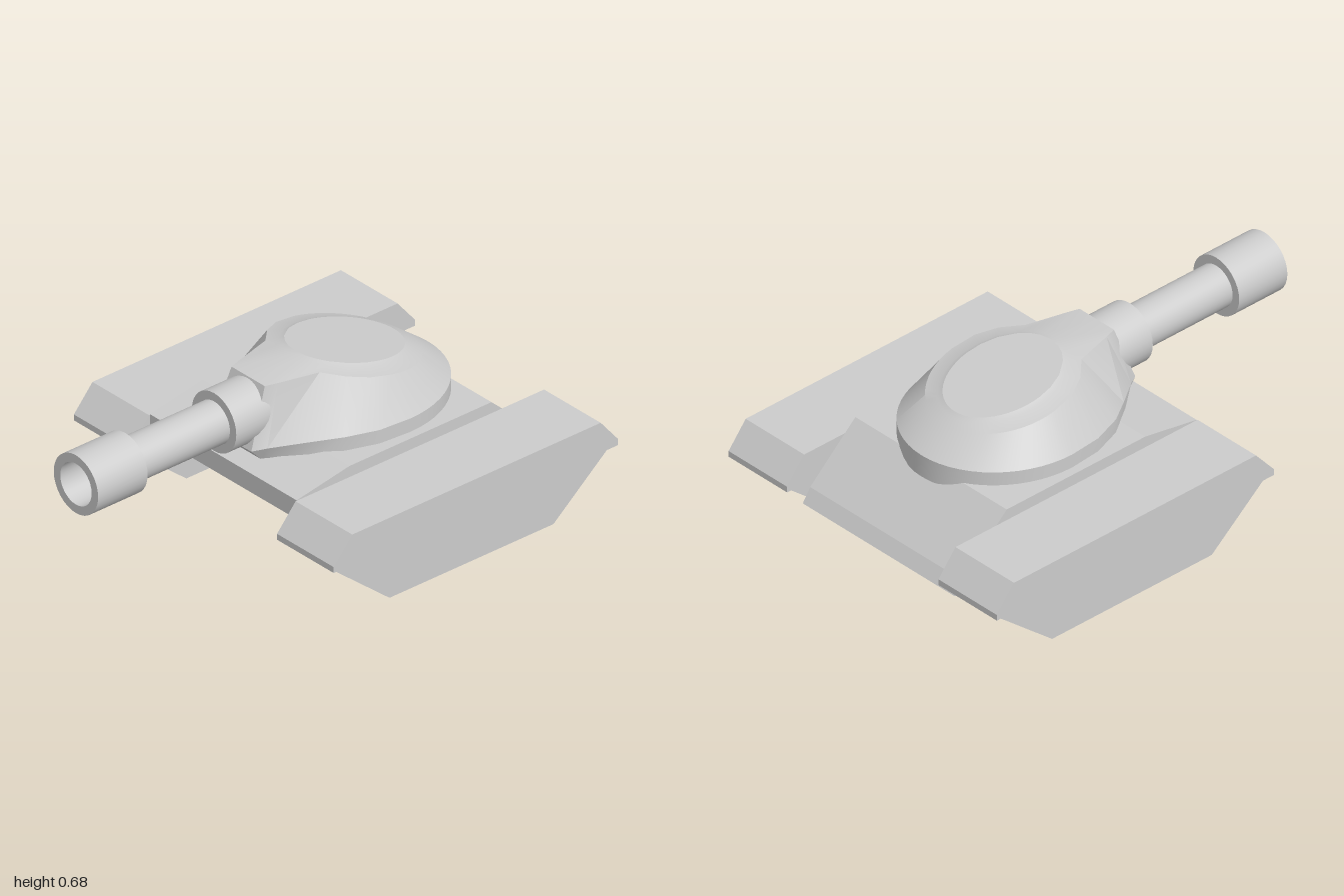
import * as THREE from 'three';
import { toCreasedNormals } from 'three/addons/utils/BufferGeometryUtils.js';

const material = new THREE.MeshStandardMaterial({ color: 0xcccccc });

function addMesh(parent, name, geometry) {
  const mesh = new THREE.Mesh(geometry, material);
  mesh.name = name;
  parent.add(mesh);
  return mesh;
}

// Extrudes a side profile of [z, y] points across x, centred on x = 0
function sideProfile(points, width) {
  const shape = new THREE.Shape(points.map(([z, y]) => new THREE.Vector2(z, y)));
  const geometry = new THREE.ExtrudeGeometry(shape, { depth: width, bevelEnabled: false });
  return geometry.translate(0, 0, -width / 2).rotateY(-Math.PI / 2);
}

// Skins a stack of closed rings, listed from bottom to top
function loft(rings, crease) {
  const positions = [];
  const triangle = (a, b, c) => {
    if (a.equals(b) || b.equals(c) || a.equals(c)) return;
    positions.push(...a.toArray(), ...b.toArray(), ...c.toArray());
  };
  for (let j = 0; j < rings.length - 1; j++) {
    const low = rings[j], high = rings[j + 1];
    for (let i = 0; i < low.length; i++) {
      const k = (i + 1) % low.length;
      triangle(low[i], low[k], high[k]);
      triangle(low[i], high[k], high[i]);
    }
  }
  const geometry = new THREE.BufferGeometry();
  geometry.setAttribute('position', new THREE.Float32BufferAttribute(positions, 3));
  return toCreasedNormals(geometry, crease);
}

// Half outline: given front points, then a quarter ellipse to the rear; mirrored to a full ring
const CENTRE = -0.3, STEPS = 14;
function ring(front, rx, rz, height) {
  const half = front.map(([x, z]) => [x, z]);
  for (let i = 0; i <= STEPS; i++) {
    const a = (i / STEPS) * Math.PI / 2;
    half.push([i === STEPS ? 0 : rx * Math.cos(a), CENTRE - rz * Math.sin(a)]);
  }
  const mirrored = half.slice(1, -1).reverse().map(([x, z]) => [-x, z]);
  return [...half, ...mirrored].map(([x, z]) => new THREE.Vector3(x, height(z), z));
}

function createTurret() {
  const roof = z => 0.689 + 0.2 * z; // roof plane falling to the rear
  const ellipseFront = (rx, rz) => [0, 14, 25, 38, 58, 75].map(d => {
    const a = THREE.MathUtils.degToRad(d);
    return [rx * Math.sin(a), CENTRE + rz * Math.cos(a)];
  });
  const base = [[0, 0.2], [0.115, 0.2], [0.14, 0.17], [0.235, 0.075], [0.313, -0.03], [0.358, -0.16]];
  const skirt = [[0, 0.253], [0.115, 0.25], [0.147, 0.2], [0.237, 0.08], [0.313, -0.03], [0.358, -0.16]];
  const shoulder = [[0, 0.165], [0.092, 0.165], [0.107, 0.115], [0.15, -0.05], [0.22, -0.12], [0.262, -0.2]];
  const point = y => ring(base.map(() => [0, CENTRE]), 0, 0, () => y);

  return loft([
    point(0.365),
    ring(base, 0.37, 0.407, () => 0.368),
    ring(skirt, 0.37, 0.407, z => z > 0 ? 0.462 - 0.16 * z : 0.462),
    ring(shoulder, 0.275, 0.295, z => Math.min(0.657, roof(z) - 0.022)),
    ring(ellipseFront(0.215, 0.258), 0.215, 0.262, z => roof(z) - 0.01),
    ring(ellipseFront(0.195, 0.236), 0.195, 0.243, roof),
    point(roof(CENTRE)),
  ], 0.36);
}

export function createModel() {
  const model = new THREE.Group();
  model.name = 'tank';

  // Hull with sloped nose and rear plate
  addMesh(model, 'hull', sideProfile([
    [0.285, 0.36], [0.03, 0.405], [-0.66, 0.405], [-0.885, 0.2], [-0.922, 0.145],
    [-0.87, 0.12], [0.09, 0.12], [0.285, 0.28],
  ], 0.812));

  // Tracks with overhanging fenders
  for (const [side, sign] of [['left', 1], ['right', -1]]) {
    const unit = new THREE.Group();
    unit.name = side + 'TrackUnit';
    unit.position.x = sign * 0.563;
    addMesh(unit, side + 'Track', sideProfile(
      [[0.09, 0], [0.37, 0.23], [-0.985, 0.23], [-0.705, 0]], 0.27));
    addMesh(unit, side + 'Fender', sideProfile(
      [[0.38, 0.23], [0.38, 0.255], [0.29, 0.358], [-0.915, 0.358], [-1, 0.255], [-1, 0.23]], 0.314));
    model.add(unit);
  }

  addMesh(model, 'turret', createTurret());

  // Hollow gun: collar, barrel and muzzle in one turned profile of [radius, z]
  const profile = [
    [0, 0.14], [0.123, 0.14], [0.123, 0.33], [0.088, 0.33], [0.088, 0.76], [0.123, 0.76],
    [0.123, 1], [0.087, 1], [0.087, 0.28], [0, 0.28],
  ].map(([r, z]) => new THREE.Vector2(r, z));
  const gun = new THREE.LatheGeometry(profile, 32).rotateX(Math.PI / 2);
  addMesh(model, 'gun', toCreasedNormals(gun, 0.6)).position.y = 0.528;

  return model;
}
